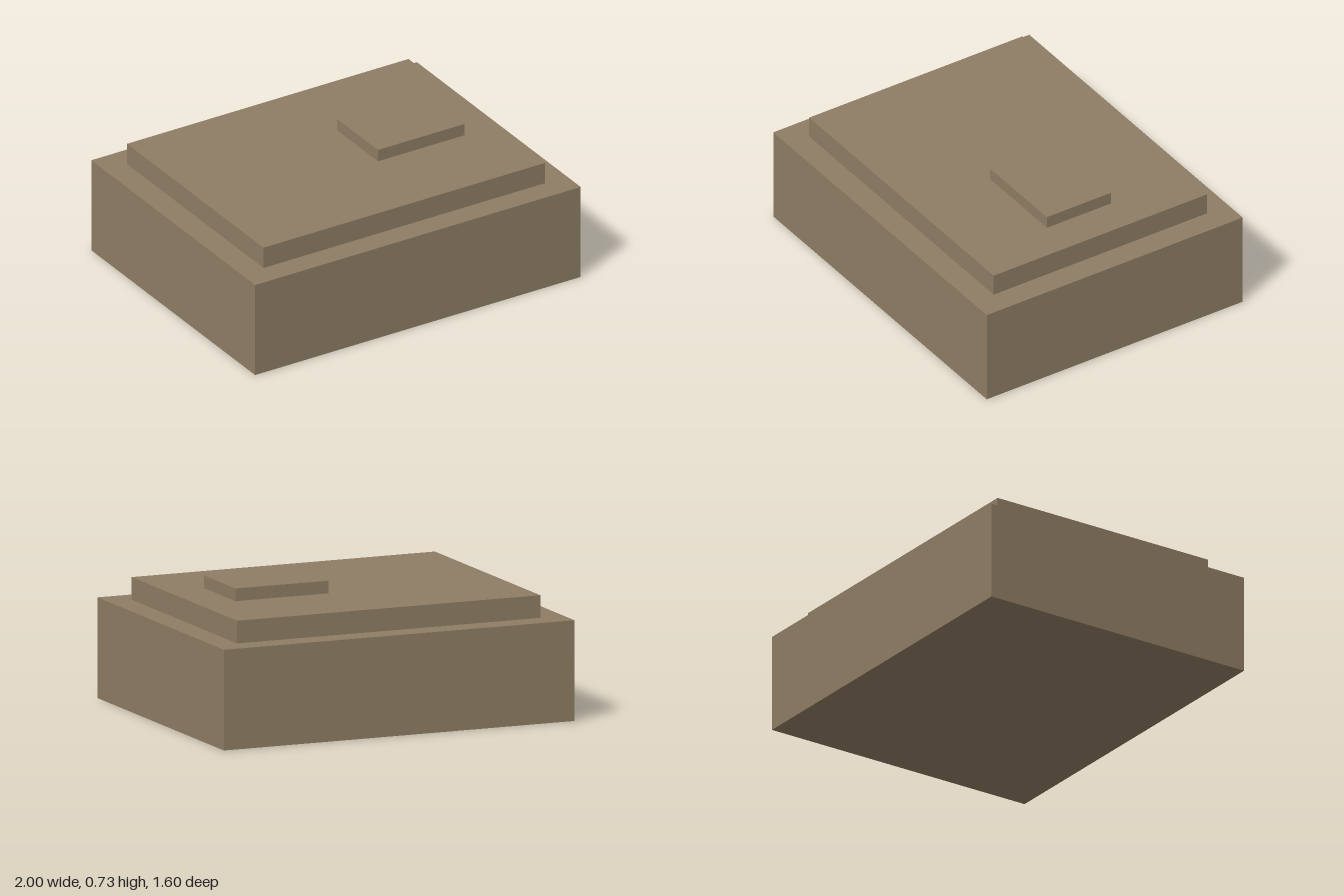
import * as THREE from 'three';

export function createModel() {
  const model = new THREE.Group();
  model.name = 'steppedBox';

  const brown = new THREE.MeshStandardMaterial({ color: 0x8f7d64 });
  brown.name = 'warm brown';

  // Adds a block from its size, its centre in x and its underside height
  function addBlock(name, width, height, depth, x, bottom) {
    const block = new THREE.Mesh(new THREE.BoxGeometry(width, height, depth), brown);
    block.name = name;
    block.position.set(x, bottom + height / 2, 0);
    model.add(block);
  }

  // Main body
  addBlock('base', 2, 0.533, 1.6, 0, 0);
  // Inset slab on top of the body
  addBlock('upperSlab', 1.729, 0.12, 1.333, 0, 0.533);
  // Small plate floating just above the slab, towards the left
  addBlock('topPlate', 0.532, 0.067, 0.4, 0.398, 0.66);

  return model;
}
